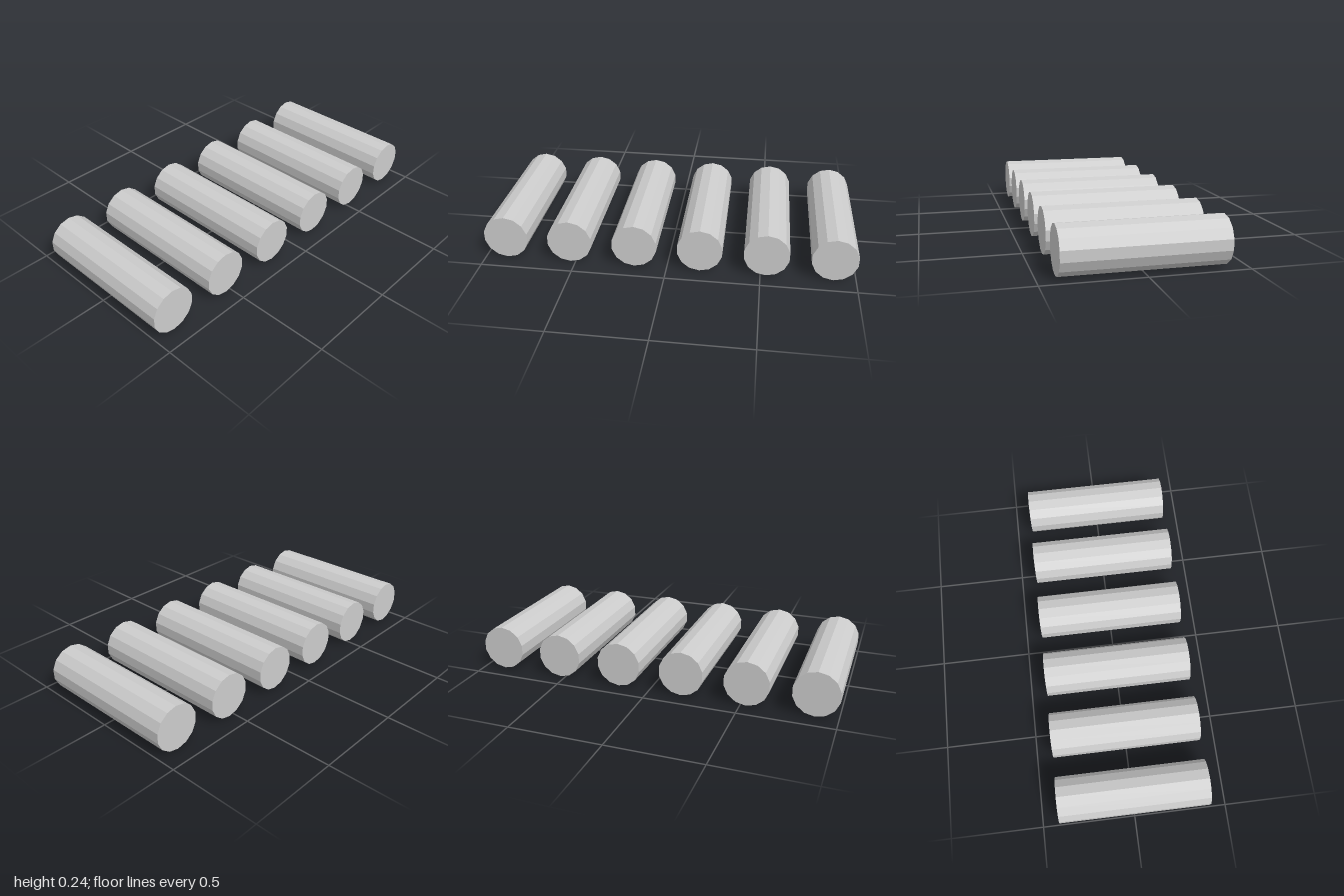
import * as THREE from 'three';

const COUNT = 6;
const SIDES = 14;
const RADIUS = 0.122;
const LENGTH = 0.81;
const SPACING = 0.3525;

export function createModel() {
  const model = new THREE.Group();
  model.name = 'rollerRow';

  const grey = new THREE.MeshStandardMaterial({ color: 0xcccccc, flatShading: true });
  grey.name = 'light grey';

  // Fourteen-sided roller lying along x, with a corner at the very top
  const geometry = new THREE.CylinderGeometry(RADIUS, RADIUS, LENGTH, SIDES, 1, false, Math.PI / 2);
  geometry.rotateZ(Math.PI / 2);

  // Evenly spaced row along z
  for (let i = 0; i < COUNT; i++) {
    const roller = new THREE.Mesh(geometry, grey);
    roller.name = `roller${i + 1}`;
    roller.position.set(0, RADIUS, (i - (COUNT - 1) / 2) * SPACING);
    model.add(roller);
  }
  return model;
}
